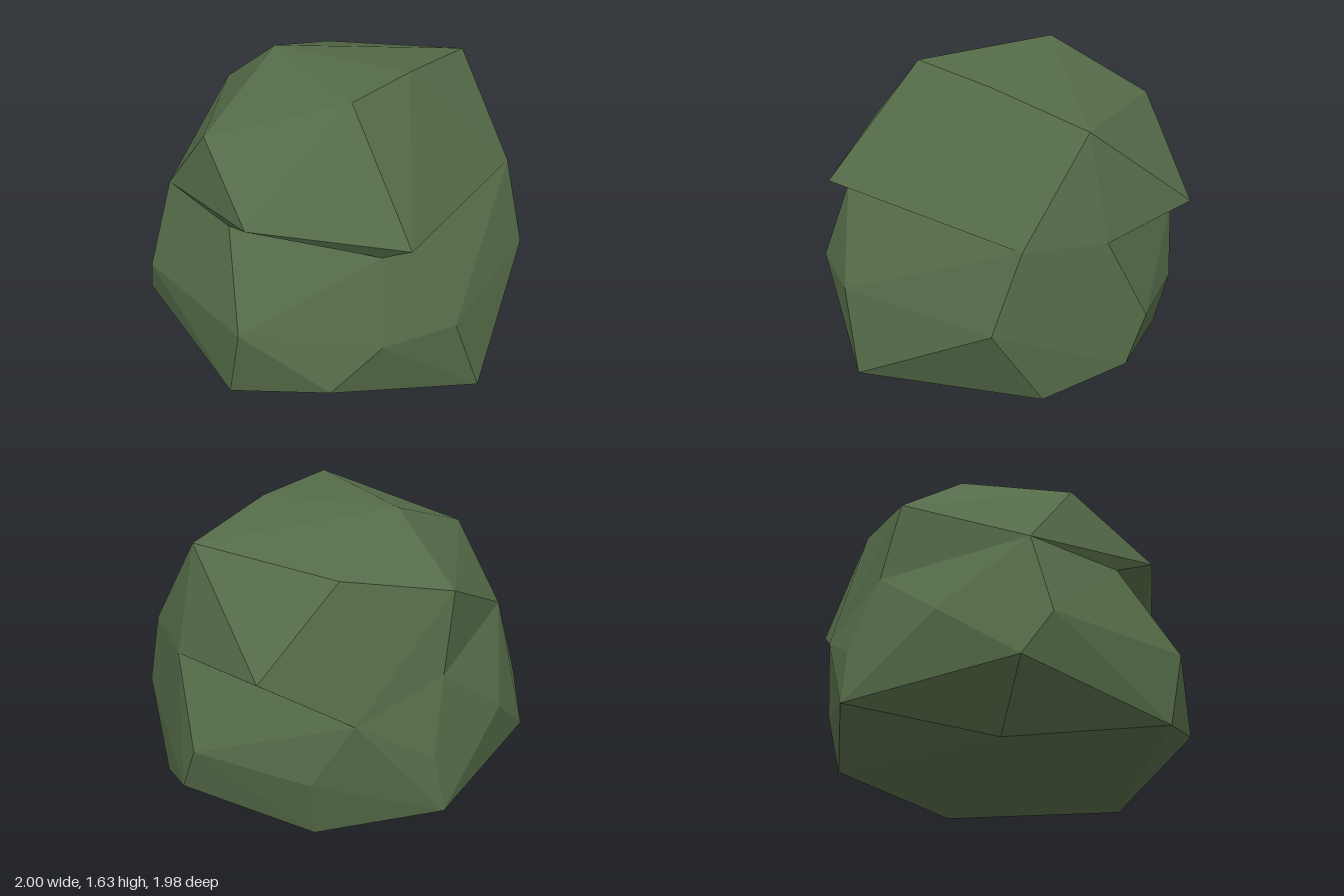
import * as THREE from 'three';
import { ConvexGeometry } from 'three/addons/geometries/ConvexGeometry.js';

// Corners shared by both lumps along the cracks
const seam = [
  [-0.56, 0.99, 0.74], [0.02, 1.0, 0.81], [0.72, 0.97, 0.43], [0.51, 0.98, -0.75],
  [0.1, 0.96, -0.91], [-0.77, 0.74, -0.5], [-0.87, 0.9, 0],
];

// Lower lump: belt, foot and lowest point
const lower = [
  [-0.88, 0.59, 0.42], [-0.95, 0.52, -0.13], [-0.62, 0.41, -0.66], [-0.11, 0.51, -0.99],
  [0.67, 0.55, -0.71], [0.96, 0.55, 0.14], [0.83, 0.54, 0.53], [0.28, 0.55, 0.99], [-0.57, 0.53, 0.89],
  [-0.71, 0.29, 0.81], [-1, 0.22, -0.1], [-0.58, 0.1, -0.6], [0.01, 0.26, -0.98],
  [0.41, 0.12, -0.8], [1, 0.12, -0.01], [0.68, 0.29, 0.74], [0.18, 0.15, 0.98], [-0.56, 0, 0.54],
];

// Upper lump: overhanging rim, shoulders and crown
const upper = [
  [0.23, 1.09, 0.88], [0.87, 1.05, 0.38], [-0.5, 0.99, -0.885],
  [-0.24, 1.38, 0.74], [-0.83, 1.31, 0.1], [-0.59, 1.43, -0.445],
  [0.12, 1.51, -0.78], [0.27, 1.6, -0.21], [0.35, 1.62, 0.28], [-0.41, 1.63, 0.11],
];

export function createModel() {
  const group = new THREE.Group();
  group.name = 'rock';
  const moss = new THREE.MeshStandardMaterial({ color: 0x556b48 });
  moss.name = 'mossy green';
  moss.flatShading = true;

  const addLump = (name, corners) => {
    const points = [...corners, ...seam].map((p) => new THREE.Vector3(...p));
    const mesh = new THREE.Mesh(new ConvexGeometry(points), moss);
    mesh.name = name;
    group.add(mesh);
  };
  addLump('lowerRock', lower);
  addLump('upperRock', upper);
  return group;
}
